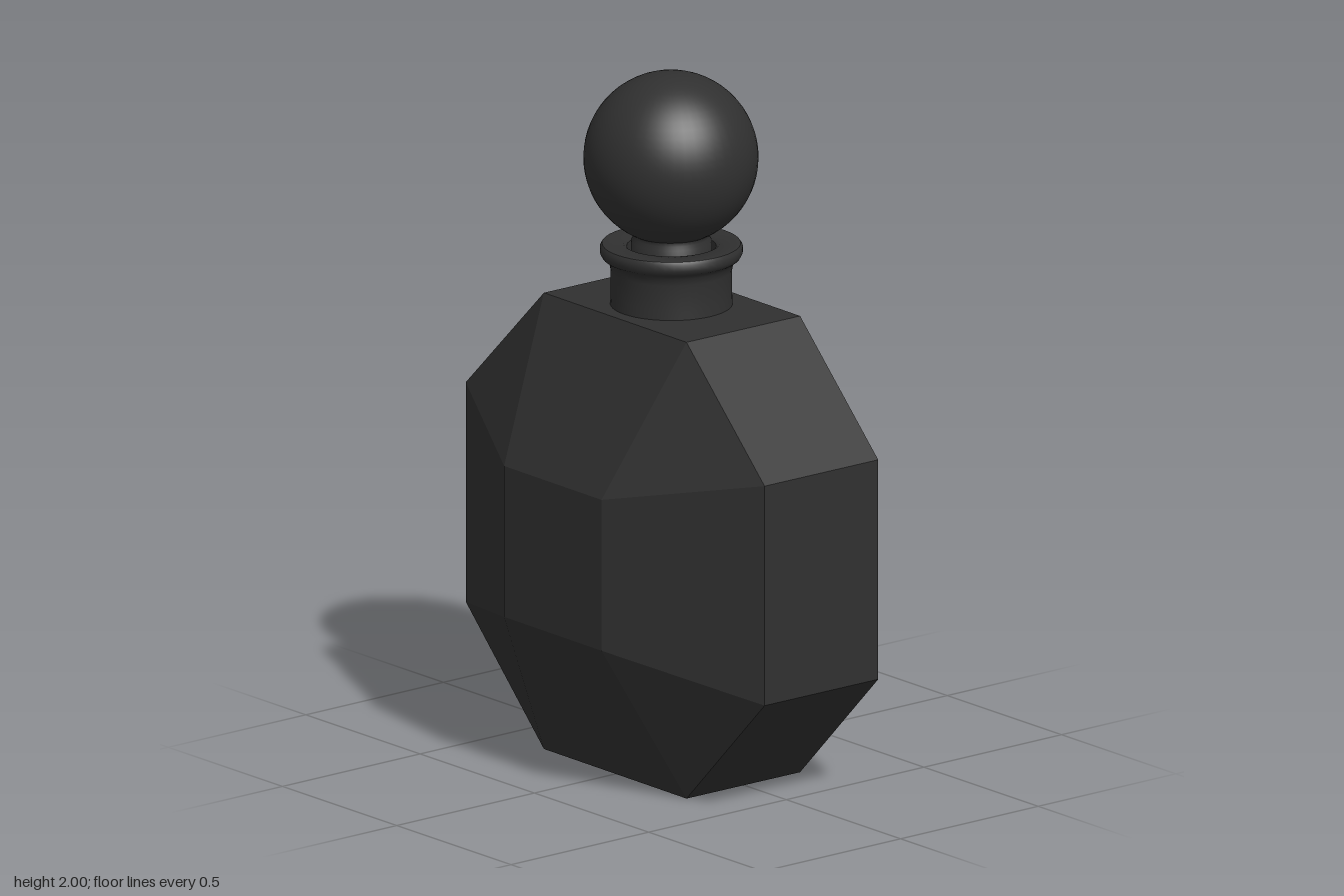
import * as THREE from 'three';
import { ConvexGeometry } from 'three/addons/geometries/ConvexGeometry.js';
import { toCreasedNormals } from 'three/addons/utils/BufferGeometryUtils.js';

export function createModel() {
  const group = new THREE.Group();
  const darkGlass = new THREE.MeshStandardMaterial({ color: 0x303030 });
  darkGlass.name = 'darkGlass';

  const add = (name, geometry, x = 0, y = 0, z = 0) => {
    const mesh = new THREE.Mesh(geometry, darkGlass);
    mesh.name = name;
    mesh.position.set(x, y, z);
    group.add(mesh);
    return mesh;
  };
  const lathe = (points) => toCreasedNormals(
    new THREE.LatheGeometry(points.map(([r, y]) => new THREE.Vector2(r, y)), 48), 0.7);

  // Faceted body: an octagonal band with a raised rectangle on front and back
  const corners = [];
  for (const sx of [-1, 1]) for (const sz of [-1, 1]) {
    for (const [x, y, z] of [
      [0.315, 0.005, 0.205], [0.66, 0.35, 0.205], [0.66, 0.99, 0.205], [0.315, 1.33, 0.205],
      [0.215, 0.45, 0.43], [0.215, 0.89, 0.43],
    ]) corners.push(new THREE.Vector3(sx * x, y - 0.005 * (y < 0.01), sz * z));
  }
  add('body', new ConvexGeometry(corners)).rotation.y = -0.008;

  // Neck and rolled lip with an open mouth
  const cx = -0.01, cz = -0.006;
  add('neck', lathe([
    [0.172, 1.32], [0.17, 1.36], [0.17, 1.43], [0.174, 1.45], [0.182, 1.46],
    [0.193, 1.467], [0.2, 1.48], [0.2, 1.497], [0.194, 1.506],
    [0.135, 1.506], [0.125, 1.498], [0.12, 1.4], [0, 1.4],
  ]), cx, 0, cz);

  // Stopper: waisted stem and round knob
  add('stopperStem', lathe([
    [0.113, 1.4], [0.113, 1.515], [0.106, 1.525], [0.107, 1.538], [0.118, 1.552], [0.14, 1.57],
  ]), cx, 0, cz);
  add('stopperKnob', new THREE.SphereGeometry(0.245, 48, 32), -0.013, 1.755, -0.007);

  return group;
}
